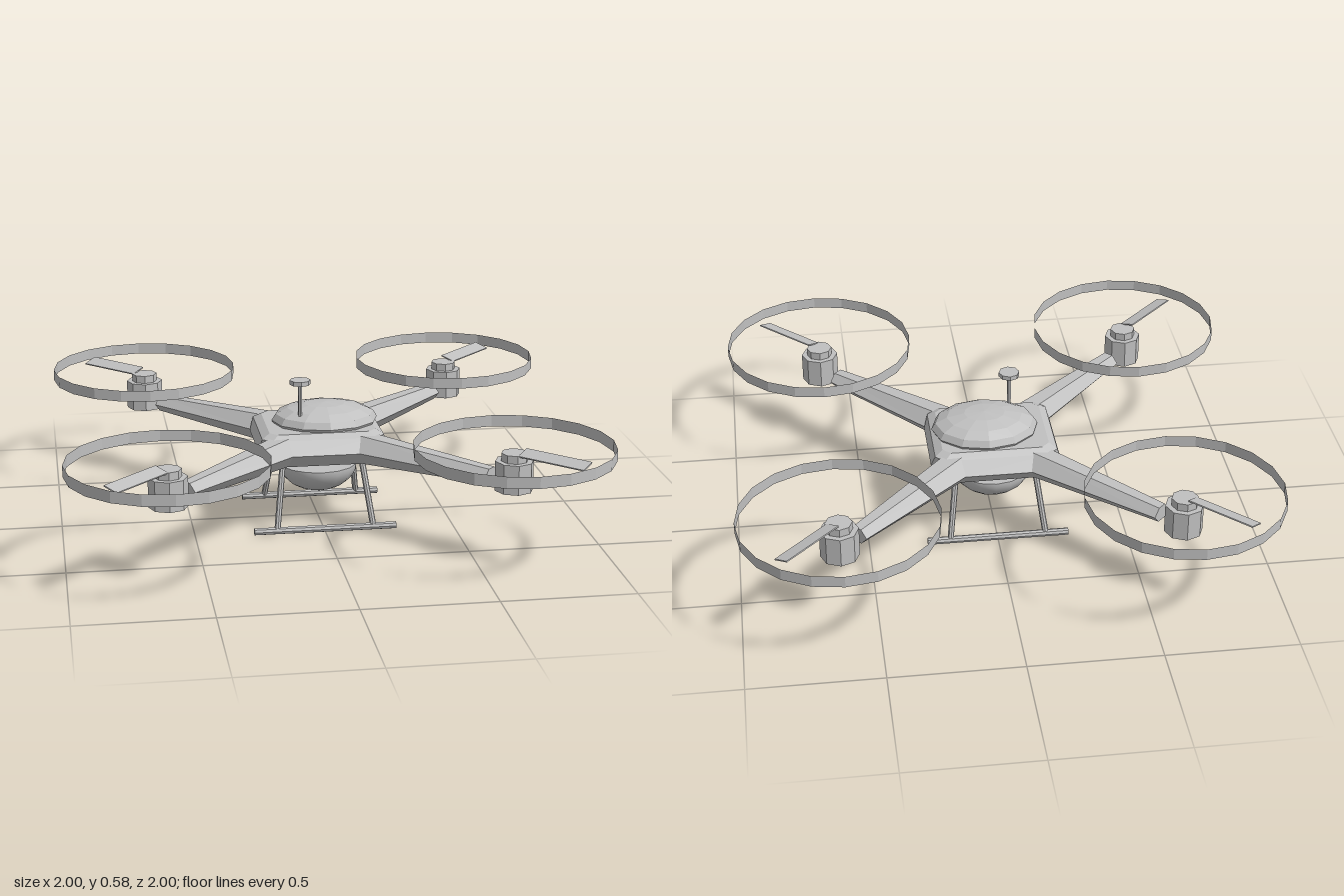
import * as THREE from 'three';

const grey = new THREE.MeshStandardMaterial({ color: 0xc0c0c0, side: THREE.DoubleSide });

// Faceted normals
function flat(geo) {
  const g = geo.index ? geo.toNonIndexed() : geo;
  g.computeVertexNormals();
  return g;
}

function add(parent, name, geo, x = 0, y = 0, z = 0) {
  const mesh = new THREE.Mesh(geo, grey);
  mesh.name = name;
  mesh.position.set(x, y, z);
  parent.add(mesh);
  return mesh;
}

// Closed skin over equal-length loops of [x, y, z], counter-clockwise seen from the last loop
function loft(loops) {
  const n = loops[0].length, index = [], last = (loops.length - 1) * n;
  for (let r = 0; r < loops.length - 1; r++) {
    for (let i = 0; i < n; i++) {
      const a = r * n + i, b = r * n + (i + 1) % n;
      index.push(a, b, b + n, a, b + n, a + n);
    }
  }
  for (let i = 1; i < n - 1; i++) {
    index.push(0, i + 1, i, last, last + i, last + i + 1);
  }
  const g = new THREE.BufferGeometry();
  g.setAttribute('position', new THREE.Float32BufferAttribute(loops.flat(2), 3));
  g.setIndex(index);
  return flat(g);
}

// Rectangle with cut corners at height y
function plate(y, w, d, c) {
  return [[w, d - c], [w, c - d], [w - c, -d], [c - w, -d], [-w, c - d], [-w, d - c], [c - w, d], [w - c, d]]
    .map(([x, z]) => [x, y, z]);
}

// Hexagonal arm section at distance z along the arm
function armSection(z, w, y0, y1) {
  const m = (y0 + y1) / 2, t = w * 0.42;
  return [[w, m], [t, y1], [-t, y1], [-w, m], [-t, y0], [t, y0]].map(([x, y]) => [x, y, z]);
}

function rod(parent, name, from, to, radius) {
  const a = new THREE.Vector3(...from), b = new THREE.Vector3(...to);
  const mesh = add(parent, name, flat(new THREE.CylinderGeometry(radius, radius, a.distanceTo(b), 8)));
  mesh.position.copy(a).add(b).multiplyScalar(0.5);
  mesh.quaternion.setFromUnitVectors(new THREE.Vector3(0, 1, 0), b.sub(a).normalize());
}

export function createModel() {
  const model = new THREE.Group();
  model.name = 'quadcopter';

  // Hull
  add(model, 'body', loft([
    plate(0.26, 0.20, 0.185, 0.05),
    plate(0.315, 0.25, 0.233, 0.10),
    plate(0.365, 0.235, 0.19, 0.035),
    plate(0.383, 0.205, 0.165, 0.03),
  ]));

  // Canopy, set slightly to one side
  const canopy = new THREE.SphereGeometry(1, 12, 8);
  canopy.scale(0.207, 0.067, 0.167);
  add(model, 'canopy', flat(canopy), 0.027, 0.393, 0);

  // Camera bowl with its flat lid
  const bowl = add(model, 'cameraBowl',
    new THREE.SphereGeometry(0.155, 16, 8, 0, Math.PI * 2, Math.PI / 2, Math.PI / 2), 0, 0.22, 0);
  bowl.scale.y = 0.72;
  const lid = add(model, 'cameraLid', new THREE.CircleGeometry(0.155, 16), 0, 0.22, 0);
  lid.rotation.x = -Math.PI / 2;

  // Antenna
  add(model, 'antennaPole', flat(new THREE.CylinderGeometry(0.008, 0.008, 0.15, 6)), -0.08, 0.49, 0.087);
  add(model, 'antennaDisc', flat(new THREE.CylinderGeometry(0.04, 0.04, 0.017, 8)), -0.08, 0.567, 0.087);

  // Arms with motors, blades and guards
  const armGeo = loft([armSection(0.2, 0.078, 0.26, 0.372), armSection(0.795, 0.045, 0.287, 0.347)]);
  const motorGeo = flat(new THREE.CylinderGeometry(0.072, 0.072, 0.112, 8));
  const capGeo = flat(new THREE.CylinderGeometry(0.05, 0.05, 0.03, 8));
  const guardGeo = flat(new THREE.CylinderGeometry(0.37, 0.37, 0.044, 20, 1, true));
  const bladeGeo = flat(new THREE.BoxGeometry(0.06, 0.005, 0.27));
  for (const sx of [-1, 1]) {
    for (const sz of [-1, 1]) {
      const yaw = Math.atan2(sx, sz);
      const x = 0.63 * sx, z = 0.63 * sz;
      add(model, 'arm', armGeo).rotation.y = yaw;
      add(model, 'motor', motorGeo, x, 0.339, z);
      add(model, 'motorCap', capGeo, x, 0.41, z);
      add(model, 'guardRing', guardGeo, x, 0.433, z);
      const blade = add(model, 'blade', bladeGeo, 0.748 * sx, 0.43, 0.748 * sz);
      blade.rotation.set(0, yaw, sx * 0.27, 'YXZ');
    }
  }

  // Landing gear
  for (const sz of [-1, 1]) {
    rod(model, 'skid', [-0.275, 0.014, 0.21 * sz], [0.275, 0.014, 0.21 * sz], 0.014);
    for (const sx of [-1, 1]) {
      rod(model, 'leg', [0.152 * sx, 0.27, 0.122 * sz], [0.186 * sx, 0.016, 0.21 * sz], 0.012);
    }
  }
  return model;
}
